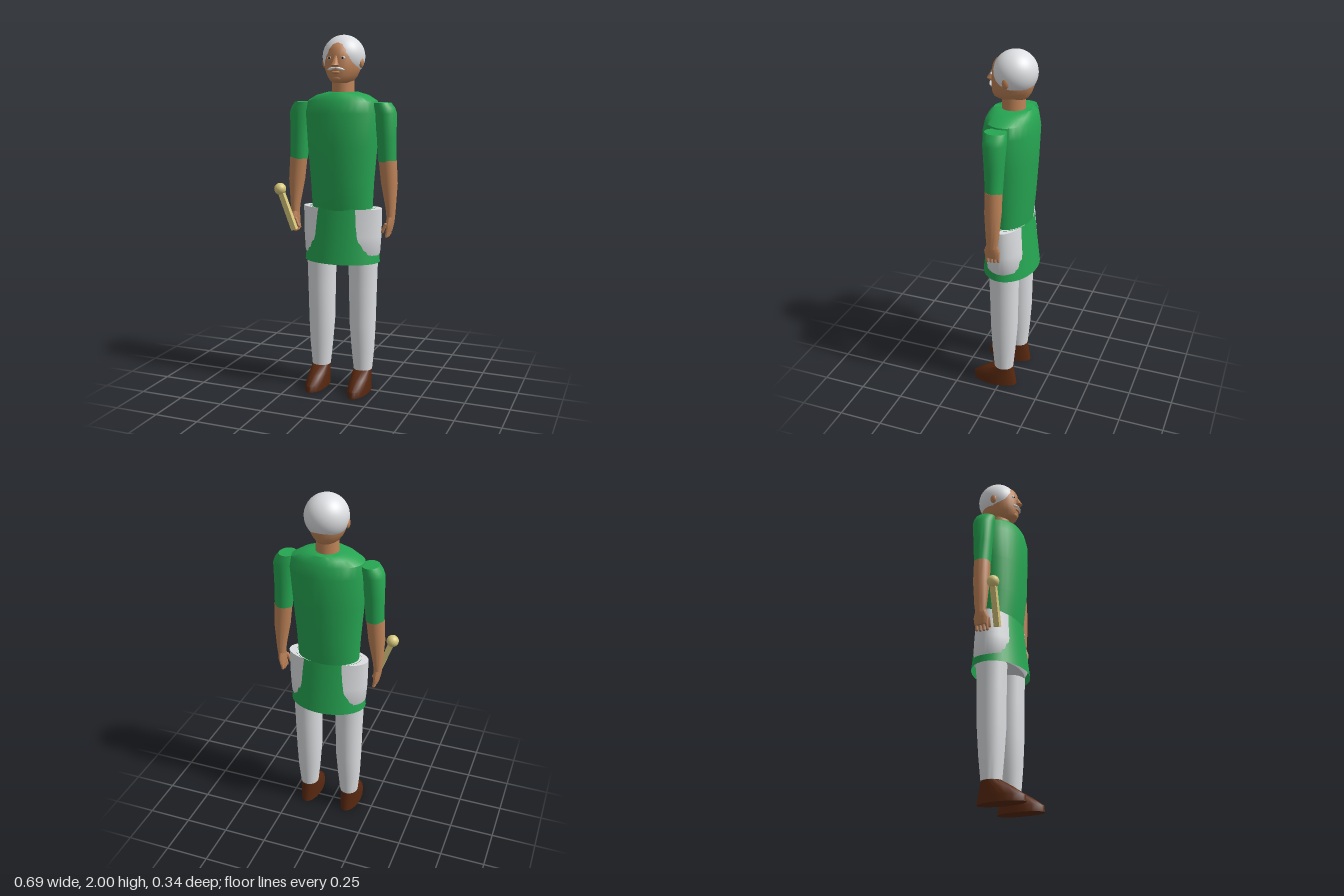
import * as THREE from 'three';
import { toCreasedNormals } from 'three/addons/utils/BufferGeometryUtils.js';

const paint = (name, color, side = THREE.FrontSide) => {
  const m = new THREE.MeshStandardMaterial({ color, side });
  m.name = name;
  return m;
};

// Elliptical rings stacked upwards: [y, centreX, halfWidth, frontZ, backZ]
function loft(rings, { segs = 28, caps = true, crease = 0.7 } = {}) {
  const pos = [], idx = [];
  for (const [y, cx, rx, f, b] of rings)
    for (let j = 0; j < segs; j++) {
      const a = (j / segs) * Math.PI * 2;
      pos.push(cx + rx * Math.cos(a), y, (f + b) / 2 + ((f - b) / 2) * Math.sin(a));
    }
  for (let i = 0; i < rings.length - 1; i++)
    for (let j = 0; j < segs; j++) {
      const k = (j + 1) % segs, a = i * segs + j, b = i * segs + k;
      idx.push(a, a + segs, b, b, a + segs, b + segs);
    }
  if (caps)
    for (const top of [false, true]) {
      const r = top ? rings.length - 1 : 0, c = pos.length / 3;
      const [y, cx, , f, b] = rings[r];
      pos.push(cx, y, (f + b) / 2);
      for (let j = 0; j < segs; j++) {
        const p = r * segs + j, q = r * segs + ((j + 1) % segs);
        idx.push(c, top ? q : p, top ? p : q);
      }
    }
  const g = new THREE.BufferGeometry();
  g.setAttribute('position', new THREE.Float32BufferAttribute(pos, 3));
  g.setIndex(idx);
  return toCreasedNormals(g, crease);
}

export function createModel() {
  const green = paint('green cloth', 0x26a552);
  const greenOpen = paint('green skirt cloth', 0x26a552, THREE.DoubleSide);
  const white = paint('white cloth', 0xdcdee1);
  const hairMat = paint('white hair', 0xdedfe2, THREE.DoubleSide);
  const skin = paint('skin', 0xbd8257);
  const brown = paint('brown leather', 0x56270f);
  const wood = paint('pale wood', 0xd8c77c);
  const dark = paint('dark pupil', 0x3a2a22);

  const model = new THREE.Group();
  model.name = 'standingMan';
  model.position.x = 0;
  const body = new THREE.Group();
  body.name = 'body';
  body.position.x = 0.02;
  model.add(body);

  const add = (name, geo, mat, x = 0, y = 0, z = 0, parent = body) => {
    const m = new THREE.Mesh(geo, mat);
    m.name = name;
    m.position.set(x, y, z);
    parent.add(m);
    return m;
  };
  const ball = (name, mat, r, x, y, z, sx = 1, sy = 1, sz = 1) => {
    const m = add(name, new THREE.SphereGeometry(r, 18, 12), mat, x, y, z);
    m.scale.set(sx, sy, sz);
    return m;
  };

  // Shirt, skirt of the shirt, and trouser hips bulging through at the sides
  add('shirt', loft([
    [1.0, 0, 0.172, 0.09, -0.125], [1.06, 0, 0.176, 0.098, -0.132],
    [1.2, 0, 0.183, 0.115, -0.145], [1.4, 0, 0.2, 0.125, -0.157],
    [1.58, 0, 0.213, 0.127, -0.164], [1.645, 0, 0.2, 0.112, -0.152],
    [1.675, 0, 0.15, 0.095, -0.14], [1.692, 0, 0.085, 0.078, -0.128],
  ], { segs: 32 }), green);
  add('shirtSkirt', loft([
    [0.75, 0, 0.219, 0.132, -0.17], [0.9, 0, 0.204, 0.113, -0.153], [1.056, 0, 0.19, 0.095, -0.135],
  ], { segs: 40, caps: false }), greenOpen);
  add('trouserHips', loft([
    [0.765, 0, 0.2, 0.095, -0.135], [0.8, 0, 0.22, 0.116, -0.156],
    [0.9, 0, 0.228, 0.106, -0.146], [1.054, 0, 0.232, 0.087, -0.127],
  ], { segs: 40 }), white);

  // Legs, shoes and arms, one set per side
  for (const s of [-1, 1]) {
    const side = s > 0 ? 'left' : 'right';
    add(side + 'TrouserLeg', loft([
      [0.12, s * 0.128, 0.053, 0.04, -0.072], [0.25, s * 0.127, 0.066, 0.051, -0.085],
      [0.4, s * 0.124, 0.075, 0.06, -0.096], [0.6, s * 0.125, 0.079, 0.063, -0.1],
      [0.82, s * 0.125, 0.086, 0.067, -0.104],
    ]), white);
    add(side + 'Shoe', loft([
      [0, s * 0.128, 0.058, 0.175, -0.095], [0.035, s * 0.128, 0.058, 0.172, -0.09],
      [0.08, s * 0.128, 0.055, 0.108, -0.08], [0.125, s * 0.128, 0.05, 0.035, -0.07],
    ], { segs: 20, crease: 0.9 }), brown);
    add(side + 'Sleeve', loft([
      [1.318, s * 0.263, 0.051, 0.03, -0.063], [1.45, s * 0.257, 0.054, 0.037, -0.07],
      [1.58, s * 0.251, 0.06, 0.046, -0.08], [1.61, s * 0.243, 0.057, 0.046, -0.079],
      [1.637, s * 0.232, 0.047, 0.043, -0.074],
    ]), green);
    add(side + 'Forearm', loft([
      [1.0, s * 0.287, 0.022, 0.018, -0.042], [1.06, s * 0.286, 0.027, 0.023, -0.05],
      [1.2, s * 0.276, 0.046, 0.031, -0.061], [1.325, s * 0.265, 0.05, 0.03, -0.062],
    ]), skin);
    add(side + 'Palm', loft([
      [0.935, s * 0.28, 0.014, 0.03, -0.05], [0.975, s * 0.284, 0.02, 0.035, -0.055],
      [1.02, s * 0.287, 0.022, 0.018, -0.042],
    ], { segs: 16 }), skin);
    for (let i = 0; i < 4; i++)
      add(side + 'Finger' + (i + 1), new THREE.CapsuleGeometry(0.0085, 0.04, 4, 8), skin,
        s * 0.276, 0.928 + (i === 3 ? 0.006 : 0), 0.022 - i * 0.021).rotation.z = -s * 0.15;
    const thumb = add(side + 'Thumb', new THREE.CapsuleGeometry(0.009, 0.045, 4, 8), skin, s * 0.26, 0.955, 0.025);
    thumb.rotation.z = -s * 0.4;
    // Ears and eyes
    ball(side + 'Ear', skin, 0.028, s * 0.107, 1.85, -0.022, 0.45, 1, 0.7);
    ball(side + 'Eye', white, 0.014, s * 0.038, 1.875, 0.079, 1, 0.6, 0.5);
    ball(side + 'Pupil', dark, 0.0065, s * 0.038, 1.875, 0.084, 1, 1, 0.5);
    // Half of the moustache
    ball(side + 'Moustache', hairMat, 0.026, s * 0.024, 1.818, 0.088, 1, 0.28, 0.4).rotation.set(0, s * 0.3, -s * 0.25);
  }

  // Neck, head and face
  add('neck', loft([[1.66, 0, 0.064, 0.036, -0.093], [1.76, 0, 0.06, 0.034, -0.09]]), skin);
  add('head', loft([
    [1.742, 0, 0.045, 0.06, -0.085], [1.752, 0, 0.06, 0.08, -0.105], [1.78, 0, 0.08, 0.09, -0.124],
    [1.82, 0, 0.097, 0.091, -0.138], [1.88, 0, 0.098, 0.09, -0.14],
    [1.92, 0, 0.082, 0.083, -0.13], [1.945, 0, 0.06, 0.069, -0.115], [1.965, 0, 0.03, 0.04, -0.08],
  ], { crease: 1 }), skin);
  add('nose', loft([
    [1.828, 0, 0.016, 0.108, 0.075], [1.838, 0, 0.021, 0.121, 0.075],
    [1.852, 0, 0.015, 0.112, 0.075], [1.888, 0, 0.007, 0.092, 0.075],
  ], { segs: 12, crease: 1 }), skin);
  ball('lips', skin, 0.024, 0, 1.798, 0.088, 1, 0.35, 0.45);
  ball('chin', skin, 0.03, 0, 1.768, 0.066, 1, 0.7, 0.75);

  // Rounded cap of hair, open below
  add('hair', new THREE.SphereGeometry(0.117, 40, 24, 0, Math.PI * 2, 0, 2.2), hairMat, 0, 1.883, -0.038);

  // Stick with a round knob, held in the right hand
  const knob = new THREE.Vector3(-0.318, 1.15, 0.083), end = new THREE.Vector3(-0.235, 0.92, 0.073);
  const rod = add('stickRod', new THREE.BoxGeometry(0.03, knob.distanceTo(end), 0.032), wood, 0, 0, 0, model);
  rod.position.copy(knob).add(end).multiplyScalar(0.5);
  rod.quaternion.setFromUnitVectors(new THREE.Vector3(0, 1, 0), knob.clone().sub(end).normalize());
  add('stickKnob', new THREE.SphereGeometry(0.034, 20, 14), wood, knob.x, knob.y, knob.z, model);

  return model;
}
